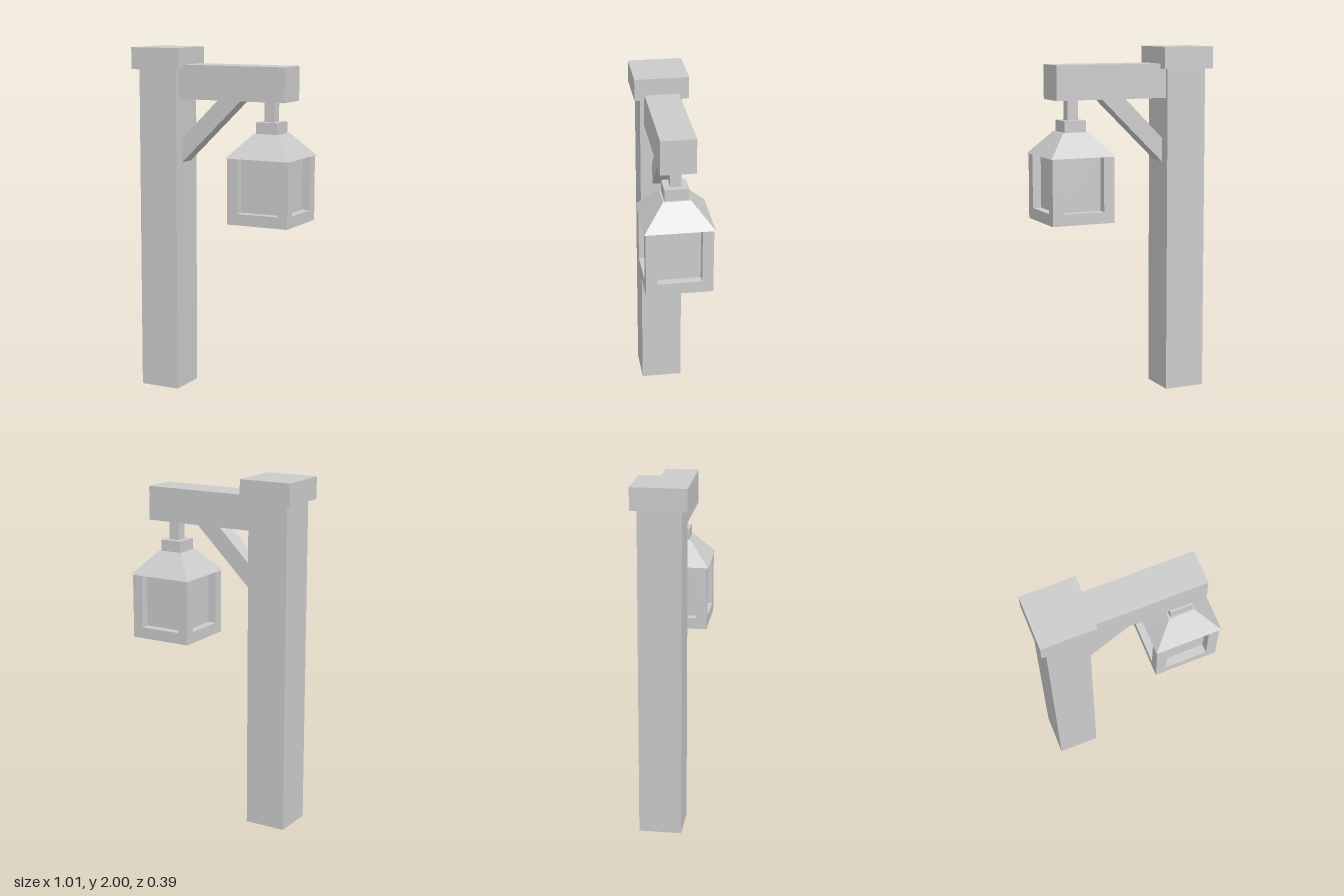
import * as THREE from 'three';

const mat = new THREE.MeshStandardMaterial({ color: 0xcccccc, flatShading: true, side: THREE.DoubleSide });

function add(parent, name, geometry, x = 0, y = 0, z = 0) {
  const m = new THREE.Mesh(geometry, mat);
  m.name = name;
  m.position.set(x, y, z);
  parent.add(m);
  return m;
}

// Box given by its x and y extents and half depth
function block(parent, name, x0, x1, y0, y1, hz) {
  return add(parent, name, new THREE.BoxGeometry(x1 - x0, y1 - y0, hz * 2), (x0 + x1) / 2, (y0 + y1) / 2, 0);
}

// Square profile turned into a four-sided shell; points are [half width, y]
function squareShell(points) {
  const pts = points.map(([r, y]) => new THREE.Vector2(r * Math.SQRT2, y));
  return new THREE.LatheGeometry(pts, 4, Math.PI / 4);
}

function shape(points) {
  return new THREE.Shape(points.map(([x, y]) => new THREE.Vector2(x, y)));
}

function createLantern() {
  const lantern = new THREE.Group();
  lantern.name = 'lantern';
  const H = 0.185, W = 0.123, inset = 0.05;
  const bottom = 1.025, sill = 1.09, top = 1.4;

  // Four sides, each a U-shaped frame with a recessed pane
  for (let i = 0; i < 4; i++) {
    const side = new THREE.Group();
    side.name = 'lanternSide';
    side.rotation.y = i * Math.PI / 2;
    add(side, 'frame', new THREE.ShapeGeometry(shape([
      [-H, bottom], [H, bottom], [H, top], [W, top],
      [W, sill], [-W, sill], [-W, top], [-H, top],
    ])), 0, 0, H);
    for (const s of [-1, 1]) {
      const jamb = add(side, 'windowJamb', new THREE.PlaneGeometry(inset, top - sill), s * W, (top + sill) / 2, H - inset / 2);
      jamb.rotation.y = -s * Math.PI / 2;
    }
    add(side, 'windowPane', new THREE.PlaneGeometry(W * 2, top - sill), 0, (top + sill) / 2, H - inset);
    lantern.add(side);
  }

  // Raised floor, level with the sills
  const floor = add(lantern, 'floor', new THREE.PlaneGeometry(H * 2, H * 2), 0, sill, 0);
  floor.rotation.x = -Math.PI / 2;

  // Roof, open underneath, with collar and hanging rod
  add(lantern, 'roof', squareShell([[0.193, top - 0.002], [0.076, 1.53], [0, 1.53]]));
  block(lantern, 'collar', -0.065, 0.065, 1.53, 1.595, 0.067);
  block(lantern, 'hangingRod', -0.031, 0.031, 1.595, 1.71, 0.031);
  lantern.position.x = 0.312;
  return lantern;
}

export function createModel() {
  const model = new THREE.Group();
  model.name = 'lampPost';

  // Hollow post, open at the bottom
  add(model, 'post', squareShell([[0.12, 0], [0.12, 1.88]]), -0.355, 0, 0);
  block(model, 'postCap', -0.508, -0.2, 1.875, 2, 0.154);
  block(model, 'arm', -0.235, 0.435, 1.71, 1.905, 0.097);

  // Diagonal brace between post and arm
  add(model, 'brace', new THREE.ExtrudeGeometry(shape([
    [-0.235, 1.34], [0.145, 1.71], [0, 1.71], [-0.235, 1.477],
  ]), { depth: 0.104, bevelEnabled: false }), 0, 0, -0.052);

  model.add(createLantern());
  return model;
}
